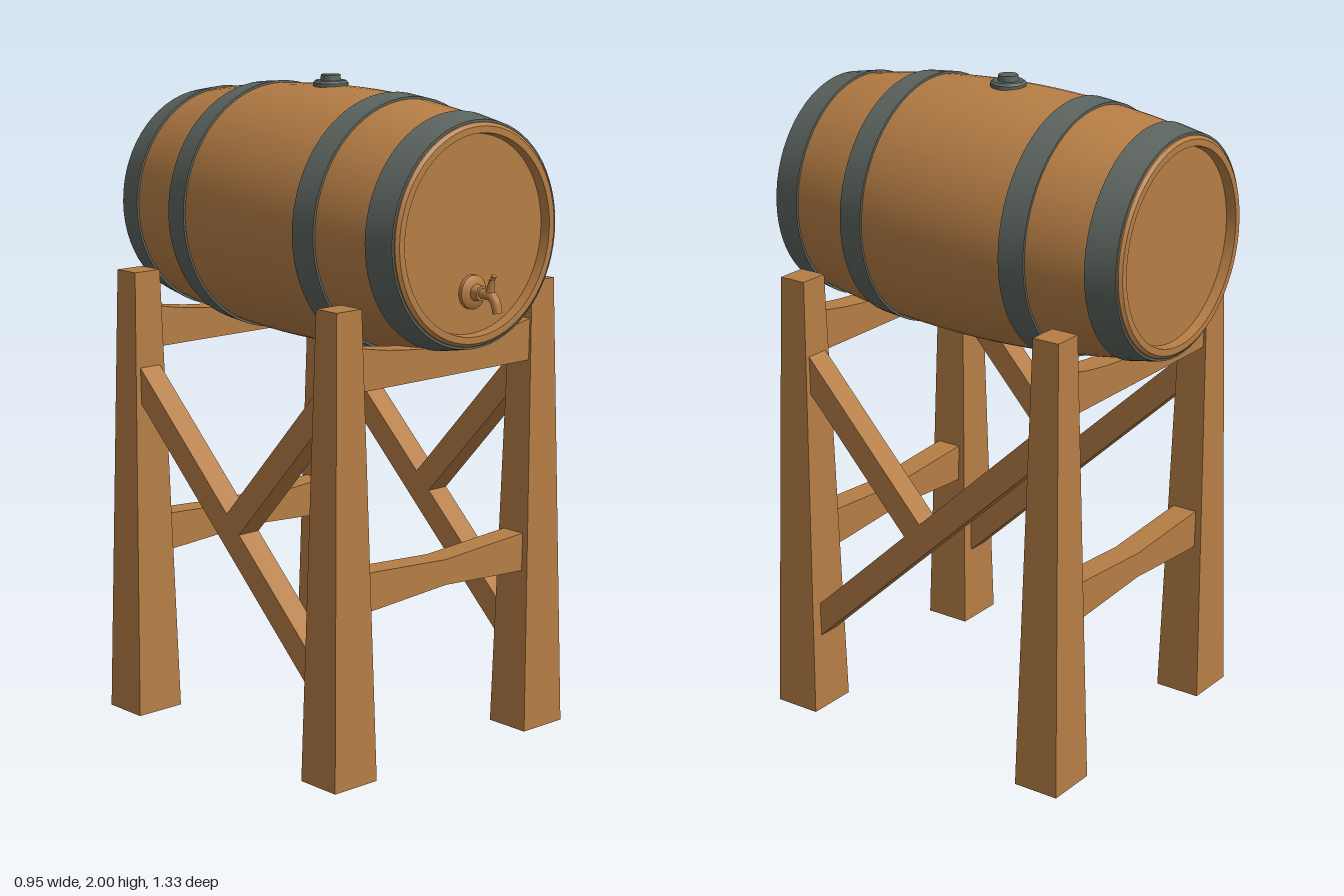
import * as THREE from 'three';
import { toCreasedNormals } from 'three/addons/utils/BufferGeometryUtils.js';

export function createModel() {
  const root = new THREE.Group();
  const wood = new THREE.MeshStandardMaterial({ color: 0xb57d45 });
  const openWood = new THREE.MeshStandardMaterial({ color: 0xb57d45, side: THREE.DoubleSide });
  const iron = new THREE.MeshStandardMaterial({ color: 0x5c645f });
  wood.name = 'wood';
  openWood.name = 'hollow wood';
  iron.name = 'iron';

  const add = (parent, name, geometry, material, x = 0, y = 0, z = 0) => {
    const mesh = new THREE.Mesh(geometry, material);
    mesh.name = name;
    mesh.position.set(x, y, z);
    parent.add(mesh);
    return mesh;
  };
  const lathe = (pts, segments = 64) => toCreasedNormals(
    new THREE.LatheGeometry(pts.map(([r, h]) => new THREE.Vector2(r, h)), segments), 0.6);
  // Move every vertex of a geometry by a rule
  const reshape = (geometry, rule) => {
    const p = geometry.attributes.position;
    const v = new THREE.Vector3();
    for (let i = 0; i < p.count; i++) {
      rule(v.fromBufferAttribute(p, i));
      p.setXYZ(i, v.x, v.y, v.z);
    }
    geometry.computeVertexNormals();
    return geometry;
  };

  // Barrel, lying along z
  const barrel = new THREE.Group();
  barrel.name = 'barrel';
  barrel.position.set(0, 1.585, -0.045);
  root.add(barrel);
  const half = 0.618, recess = 0.03, headR = 0.288;
  const bulge = (t) => 0.384 - 0.064 * (t / half) ** 2;
  const profile = [[0, recess - half], [headR, recess - half], [headR + 0.004, -half], [0.312, -half]];
  for (let i = 0; i <= 20; i++) {
    const t = (i / 10 - 1) * (half - 0.008);
    profile.push([bulge(t), t]);
  }
  profile.push([0.312, half], [headR + 0.004, half], [headR, half - recess], [0, half - recess]);
  add(barrel, 'staves and heads', lathe(profile).rotateX(Math.PI / 2), wood);

  // Four iron hoops following the bulge
  for (const side of [-1, 1]) {
    for (const [a, b] of [[0.246, 0.327], [0.514, 0.606]]) {
      const [lo, hi] = side > 0 ? [a, b] : [-b, -a];
      const ring = [[bulge(lo) - 0.01, lo], [bulge(lo) + 0.007, lo],
        [bulge(hi) + 0.007, hi], [bulge(hi) - 0.01, hi]];
      add(barrel, 'hoop', lathe(ring).rotateX(Math.PI / 2), iron);
    }
  }

  // Bung on top
  add(root, 'bung', lathe([[0.053, -0.02], [0.053, 0.006], [0.046, 0.013], [0.031, 0.013],
    [0.029, 0.03], [0, 0.03]], 32), iron, 0, 1.97, -0.055);

  // Tap: flange, neck with spout, and turning key
  const tap = new THREE.Group();
  tap.name = 'tap';
  tap.position.set(0, 1.42, 0.543);
  root.add(tap);
  add(tap, 'tap flange', lathe([[0.05, 0], [0.05, 0.012], [0.042, 0.018], [0.025, 0.022],
    [0.022, 0.045], [0, 0.045]], 24).rotateX(Math.PI / 2), wood);
  const spout = new THREE.CatmullRomCurve3([[0, 0, 0.02], [0, 0, 0.065], [0, -0.004, 0.085],
    [0, -0.022, 0.1], [0, -0.05, 0.107]].map((p) => new THREE.Vector3(...p)));
  add(tap, 'spout', new THREE.TubeGeometry(spout, 16, 0.015, 12), openWood);
  const key = add(tap, 'tap key stem', new THREE.CylinderGeometry(0.009, 0.014, 0.045, 12), wood, 0, 0.022, 0.08);
  key.rotation.x = 0.2;
  const grip = add(tap, 'tap key grip', new THREE.CylinderGeometry(0.008, 0.006, 0.03, 10), wood, 0, 0.044, 0.085);
  grip.rotation.x = 0.5;

  // Tapered legs, open underneath
  const frontZ = 0.413, backZ = -0.497, legX = 0.393;
  const makeLeg = () => {
    const g = new THREE.BoxGeometry(2, 1.4, 2);
    const index = Array.from(g.index.array);
    g.setIndex(index.filter((_, i) => i < 18 || i >= 24));
    return reshape(g, (v) => {
      v.x *= v.y > 0 ? 0.0475 : 0.082;
      v.z *= v.y > 0 ? 0.0435 : 0.0735;
    });
  };

  // Upper beams dip to cradle the barrel; lower beams narrow at the middle
  const makeCradle = () => reshape(new THREE.BoxGeometry(0.72, 0.13, 0.08, 12), (v) => {
    if (v.y > 0) v.y -= 0.04 * (1 - (v.x / 0.36) ** 2);
  });
  const makeStretcher = () => reshape(new THREE.BoxGeometry(0.7, 0.12, 0.08, 8), (v) => {
    v.y *= 0.65 + 0.35 * Math.min(1, Math.abs(v.x) / 0.33);
  });

  for (const [end, z] of [['front', frontZ], ['back', backZ]]) {
    for (const s of [-1, 1]) add(root, end + ' leg', makeLeg(), openWood, s * legX, 0.7, z);
    add(root, end + ' cradle beam', makeCradle(), wood, 0, 1.225, z);
    add(root, end + ' stretcher', makeStretcher(), wood, 0, 0.565, z);
  }

  // Diagonal braces on both sides, each from (y, z) to (y, z)
  const brace = (name, x, y0, z0, y1, z1, thick) => {
    const length = Math.hypot(y1 - y0, z1 - z0);
    const mesh = add(root, name, new THREE.BoxGeometry(0.076, thick, length), wood,
      x, (y0 + y1) / 2, (z0 + z1) / 2);
    mesh.rotation.x = -Math.atan2(y1 - y0, z1 - z0);
  };
  for (const s of [-1, 1]) {
    brace('long brace', s * legX, 0.27, 0.38, 1.09, -0.49, 0.08);
    brace('short brace', s * legX, 1.145, 0.4, 0.695, -0.015, 0.078);
  }
  return root;
}
